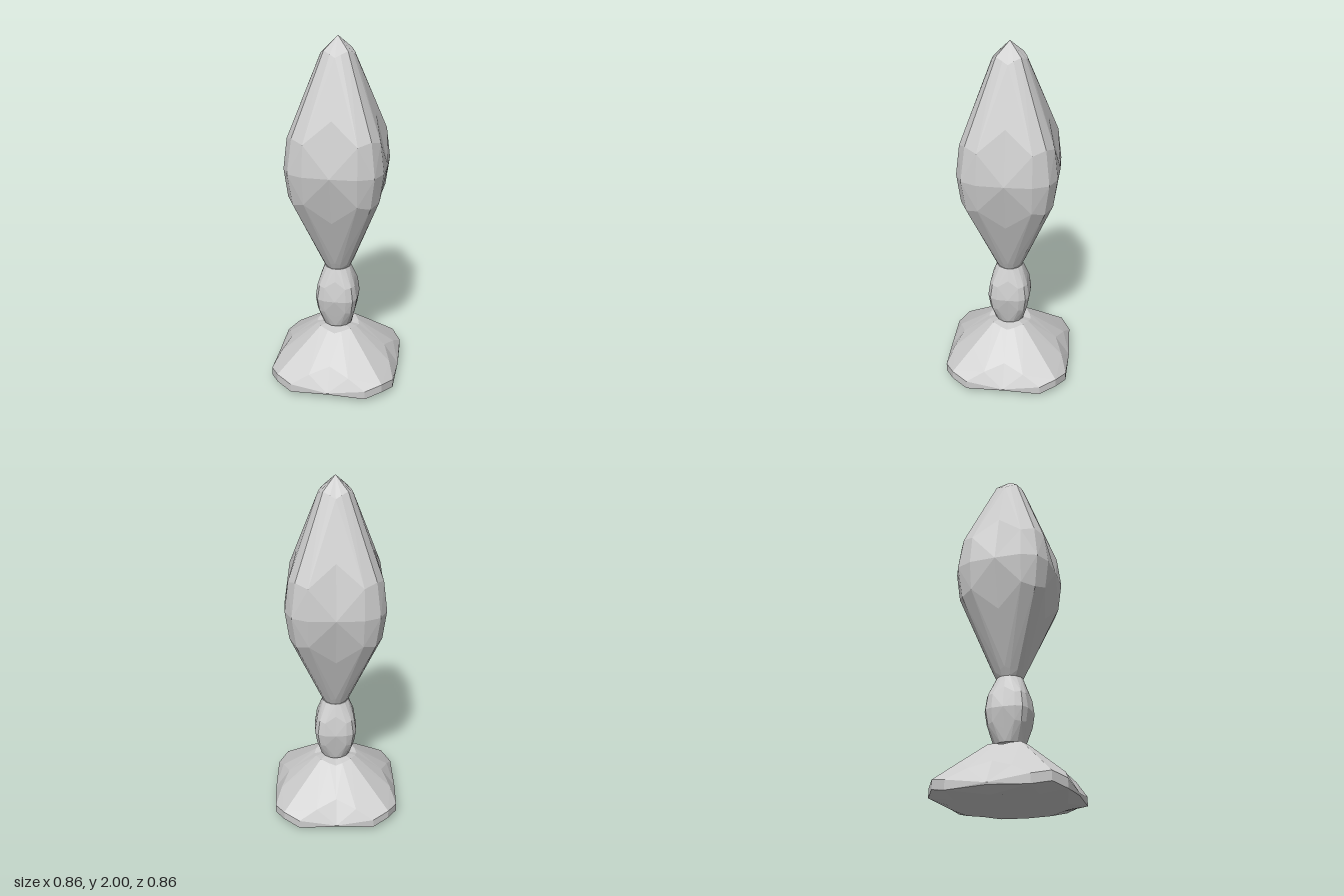
import * as THREE from 'three';

const material = new THREE.MeshStandardMaterial({ color: 0xcccccc, flatShading: true });

// A ring has four-fold symmetry: [axis radius, y], [side radius, half width, y], [diagonal x = z, y]
function ringPoints([ax, side, diag]) {
  const quarter = [
    [ax[0], ax[1], 0], [side[0], side[2], side[1]],
    [diag[0], diag[1], diag[0]], [side[1], side[2], side[0]],
  ];
  const points = [];
  for (let q = 0; q < 4; q++) {
    for (const p of quarter) {
      const v = new THREE.Vector3(...p);
      for (let k = 0; k < q; k++) v.set(-v.z, v.y, v.x);
      points.push(v);
    }
  }
  return points;
}

// Faceted skin from top to bottom, closed by a fan at both ends
function facetedPart(name, topY, rings, bottomY) {
  const loops = rings.map(ringPoints);
  const pos = [];
  const tri = (...vs) => vs.forEach((v) => pos.push(v.x, v.y, v.z));
  const n = loops[0].length;
  const top = new THREE.Vector3(0, topY, 0);
  const bottom = new THREE.Vector3(0, bottomY, 0);
  const last = loops[loops.length - 1];
  for (let i = 0; i < n; i++) {
    const j = (i + 1) % n;
    tri(top, loops[0][j], loops[0][i]);
    tri(bottom, last[i], last[j]);
    for (let r = 0; r + 1 < loops.length; r++) {
      const a = loops[r][i], b = loops[r][j], c = loops[r + 1][i], d = loops[r + 1][j];
      const normal = b.clone().sub(a).cross(c.clone().sub(a));
      // split each quad along its convex diagonal
      if (normal.dot(d.clone().sub(a)) <= 0) { tri(a, b, c); tri(b, d, c); }
      else { tri(a, b, d); tri(a, d, c); }
    }
  }
  const geometry = new THREE.BufferGeometry();
  geometry.setAttribute('position', new THREE.Float32BufferAttribute(pos, 3));
  geometry.computeVertexNormals();
  const mesh = new THREE.Mesh(geometry, material);
  mesh.name = name;
  return mesh;
}

export function createModel() {
  const group = new THREE.Group();
  group.name = 'facetedFinial';

  // Tall pointed bulb
  group.add(facetedPart('bulb', 2, [
    [[0.09, 1.93], [0.08, 0.04, 1.915], [0.067, 1.9]],
    [[0.297, 1.5], [0.278, 0.075, 1.48], [0.145, 1.6]],
    [[0.328, 1.31], [0.295, 0.088, 1.31], [0.195, 1.31]],
    [[0.297, 1.13], [0.278, 0.075, 1.15], [0.145, 1.03]],
    [[0.09, 0.72], [0.08, 0.04, 0.725], [0.067, 0.735]],
    [[0.072, 0.69], [0.065, 0.033, 0.69], [0.052, 0.69]],
  ], 0.69));

  // Small bead between bulb and foot
  group.add(facetedPart('bead', 0.69, [
    [[0.075, 0.69], [0.068, 0.034, 0.69], [0.053, 0.69]],
    [[0.13, 0.585], [0.12, 0.034, 0.58], [0.07, 0.62]],
    [[0.145, 0.5], [0.13, 0.04, 0.5], [0.087, 0.5]],
    [[0.13, 0.42], [0.12, 0.034, 0.425], [0.07, 0.385]],
    [[0.085, 0.32], [0.077, 0.038, 0.32], [0.06, 0.32]],
  ], 0.32));

  // Spreading foot with vertical rim faces on its four points
  group.add(facetedPart('foot', 0.325, [
    [[0.125, 0.315], [0.11, 0.055, 0.305], [0.09, 0.295]],
    [[0.28, 0.204], [0.31, 0.15, 0.13], [0.2, 0.17]],
    [[0.43, 0.095], [0.405, 0.102, 0.075], [0.26, 0.045]],
    [[0.43, 0.045], [0.405, 0.102, 0.025], [0.258, 0.035]],
    [[0.31, 0.005], [0.3, 0.1, 0], [0.215, 0]],
  ], 0));

  return group;
}
